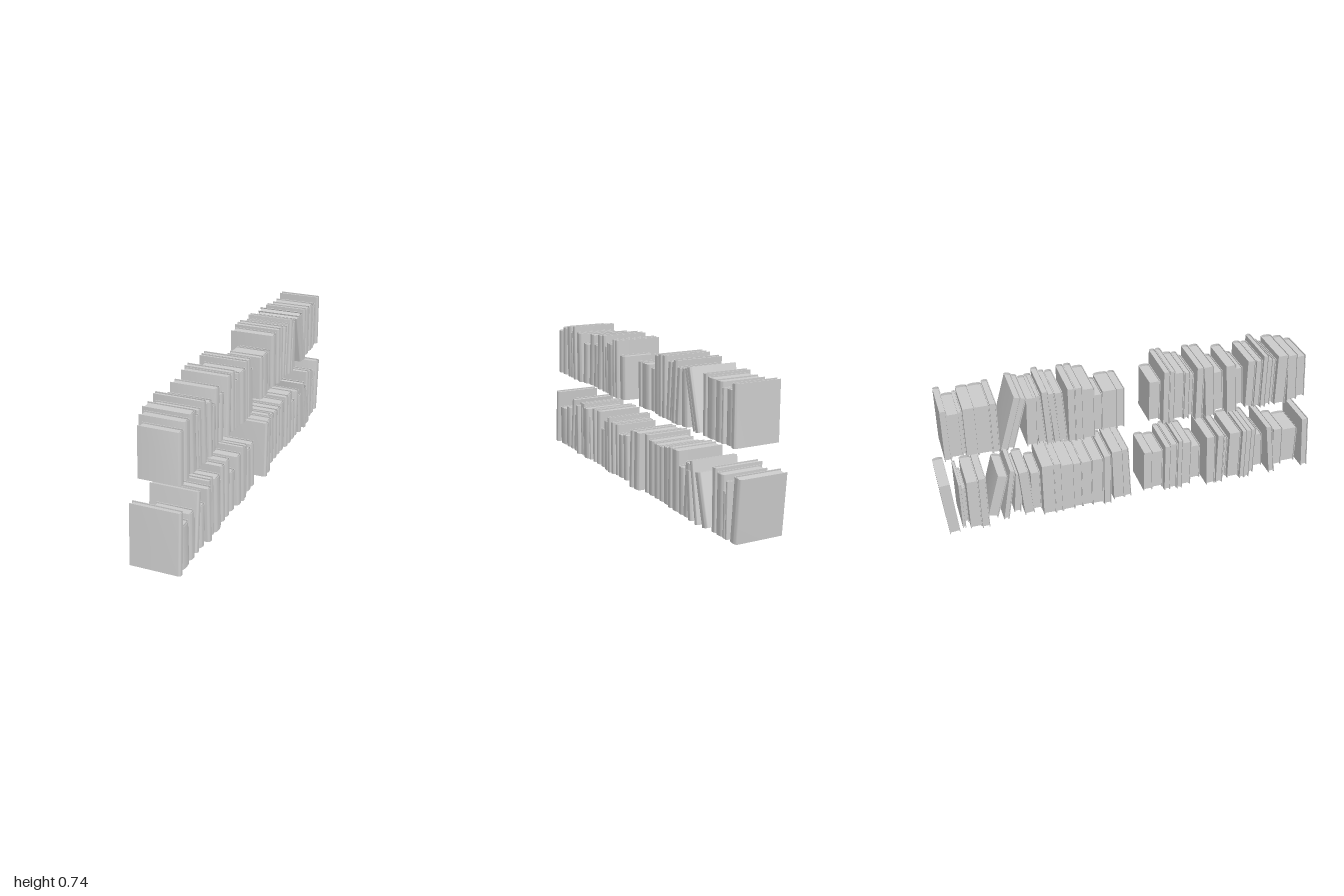
import * as THREE from 'three';
import { toCreasedNormals } from 'three/addons/utils/BufferGeometryUtils.js';

const BOARD = 0.004;    // cover thickness
const OVERHANG = 0.006; // cover beyond the page block
const SPINE_X = 0.11;   // usual position of the spines
const DEPTH = 0.82;     // book depth per unit of height

// Each book: [z at the foot, thickness, height, shift of the top in z, spine x]
const lowerFront = [
  [0.983, 0.035, 0.31, -0.024, 0.12], [0.909, 0.085, 0.22], [0.839, 0.053, 0.24, -0.008],
  [0.786, 0.032, 0.305, -0.038], [0.732, 0.053, 0.215, -0.016], [0.67, 0.038, 0.285, 0, 0.125],
  [0.638, 0.027, 0.305], [0.611, 0.027, 0.305], [0.566, 0.064, 0.29, 0, 0.12],
  [0.525, 0.016, 0.25], [0.477, 0.037, 0.305], [0.429, 0.048, 0.305, -0.011],
  [0.365, 0.055, 0.215, -0.005], [0.298, 0.053, 0.275, 0, 0.12], [0.257, 0.027, 0.305, 0, 0.125],
  [0.225, 0.037, 0.285, 0, 0.12], [0.19, 0.032, 0.28], [0.145, 0.058, 0.235], [0.091, 0.048, 0.245],
];
const lowerBack = [
  [-0.027, 0.037, 0.305, -0.016, 0.14], [-0.075, 0.058, 0.305, -0.011, 0.135], [-0.145, 0.037, 0.305],
  [-0.193, 0.058, 0.285], [-0.249, 0.053, 0.28], [-0.298, 0.043, 0.28], [-0.351, 0.064, 0.29],
  [-0.402, 0.037, 0.305, 0, 0.12], [-0.453, 0.064, 0.305, 0, 0.12], [-0.509, 0.048, 0.235, 0, 0.12],
  [-0.553, 0.05, 0.27, -0.02, 0.12], [-0.61, 0.035, 0.24, 0.02, 0.13], [-0.678, 0.027, 0.3, 0.05, 0.135],
  [-0.742, 0.053, 0.255, 0.07, 0.13], [-0.788, 0.037, 0.305], [-0.836, 0.058, 0.29],
  [-0.877, 0.02, 0.22], [-0.895, 0.016, 0.27], [-0.947, 0.053, 0.305, -0.026],
];
const upperFront = [
  [0.933, 0.048, 0.25, -0.016], [0.874, 0.053, 0.275, -0.016], [0.799, 0.058, 0.29],
  [0.759, 0.022, 0.26], [0.732, 0.032, 0.275], [0.702, 0.027, 0.305, 0, 0.12],
  [0.673, 0.032, 0.275], [0.635, 0.043, 0.275, 0, 0.12], [0.587, 0.053, 0.225, -0.016],
  [0.528, 0.053, 0.285, -0.02, 0.1], [0.472, 0.048, 0.235, -0.016, 0.1], [0.408, 0.048, 0.3, -0.02],
  [0.343, 0.037, 0.305], [0.311, 0.027, 0.25], [0.284, 0.027, 0.275], [0.241, 0.058, 0.275, 0, 0.12],
  [0.2, 0.027, 0.305, 0, 0.12], [0.169, 0.032, 0.305, 0, 0.12], [0.123, 0.058, 0.23],
];
const upperBack = [
  [-0.059, 0.037, 0.23, 0, 0.1], [-0.115, 0.075, 0.23, 0, 0.1], [-0.18, 0.053, 0.215, 0, 0.09],
  [-0.236, 0.058, 0.29, 0, 0.1], [-0.284, 0.037, 0.305], [-0.322, 0.037, 0.305],
  [-0.362, 0.037, 0.285, -0.02], [-0.394, 0.03, 0.29, -0.025], [-0.432, 0.032, 0.305, -0.018, 0.12],
  [-0.466, 0.037, 0.275, -0.02, 0.12], [-0.52, 0.053, 0.275, 0.008], [-0.63, 0.032, 0.29, 0.08, 0.12],
  [-0.662, 0.037, 0.3, 0.085, 0.125], [-0.7, 0.032, 0.285], [-0.751, 0.07, 0.275],
  [-0.815, 0.058, 0.275], [-0.853, 0.016, 0.25], [-0.89, 0.058, 0.25, 0, 0.1], [-0.936, 0.032, 0.285],
];

const material = new THREE.MeshStandardMaterial({ color: 0xcccccc });

// One U-shaped section, extruded upwards: two boards joined by a rounded spine
function coverGeometry(depth, thick, height) {
  const bulge = Math.min(0.014, thick * 0.35);
  const half = thick / 2;
  const inner = half - BOARD;
  const shape = new THREE.Shape();
  shape.moveTo(-depth, -half);
  shape.lineTo(-bulge, -half);
  shape.absellipse(-bulge, 0, bulge, half, -Math.PI / 2, Math.PI / 2, false);
  shape.lineTo(-depth, half);
  shape.lineTo(-depth, inner);
  shape.lineTo(-bulge, inner);
  shape.absellipse(-bulge, 0, bulge - BOARD / 2, inner, Math.PI / 2, -Math.PI / 2, true);
  shape.lineTo(-depth, -inner);
  shape.closePath();
  const geometry = new THREE.ExtrudeGeometry(shape, { depth: height, bevelEnabled: false, curveSegments: 6 });
  geometry.rotateX(-Math.PI / 2);
  return toCreasedNormals(geometry, 0.7);
}

function makeBook([z, thick, height, shift = 0, spineX = SPINE_X]) {
  const book = new THREE.Group();
  book.name = 'book';
  const depth = height * DEPTH;

  const cover = new THREE.Mesh(coverGeometry(depth, thick, height), material);
  cover.name = 'cover';

  // Page block, set back from the edges of the boards
  const pageDepth = depth - OVERHANG - Math.min(0.014, thick * 0.35);
  const pages = new THREE.Mesh(
    new THREE.BoxGeometry(pageDepth, height - 2 * OVERHANG, thick - BOARD * 1.8), material);
  pages.name = 'pages';
  pages.position.set(-depth + OVERHANG + pageDepth / 2, height / 2, 0);

  book.add(cover, pages);

  // Leaning books rest on their lower edge
  const lean = Math.atan2(shift, height);
  book.rotation.x = lean;
  book.position.set(spineX, Math.abs(Math.sin(lean)) * thick / 2, z);
  return book;
}

function makeRow(name, y, books) {
  const row = new THREE.Group();
  row.name = name;
  row.position.y = y;
  for (const entry of books) row.add(makeBook(entry));
  return row;
}

export function createModel() {
  const model = new THREE.Group();
  model.name = 'bookRows';
  model.add(
    makeRow('lowerFrontRow', 0.004, lowerFront),
    makeRow('lowerBackRow', 0.004, lowerBack),
    makeRow('upperFrontRow', 0.435, upperFront),
    makeRow('upperBackRow', 0.435, upperBack),
  );
  return model;
}
